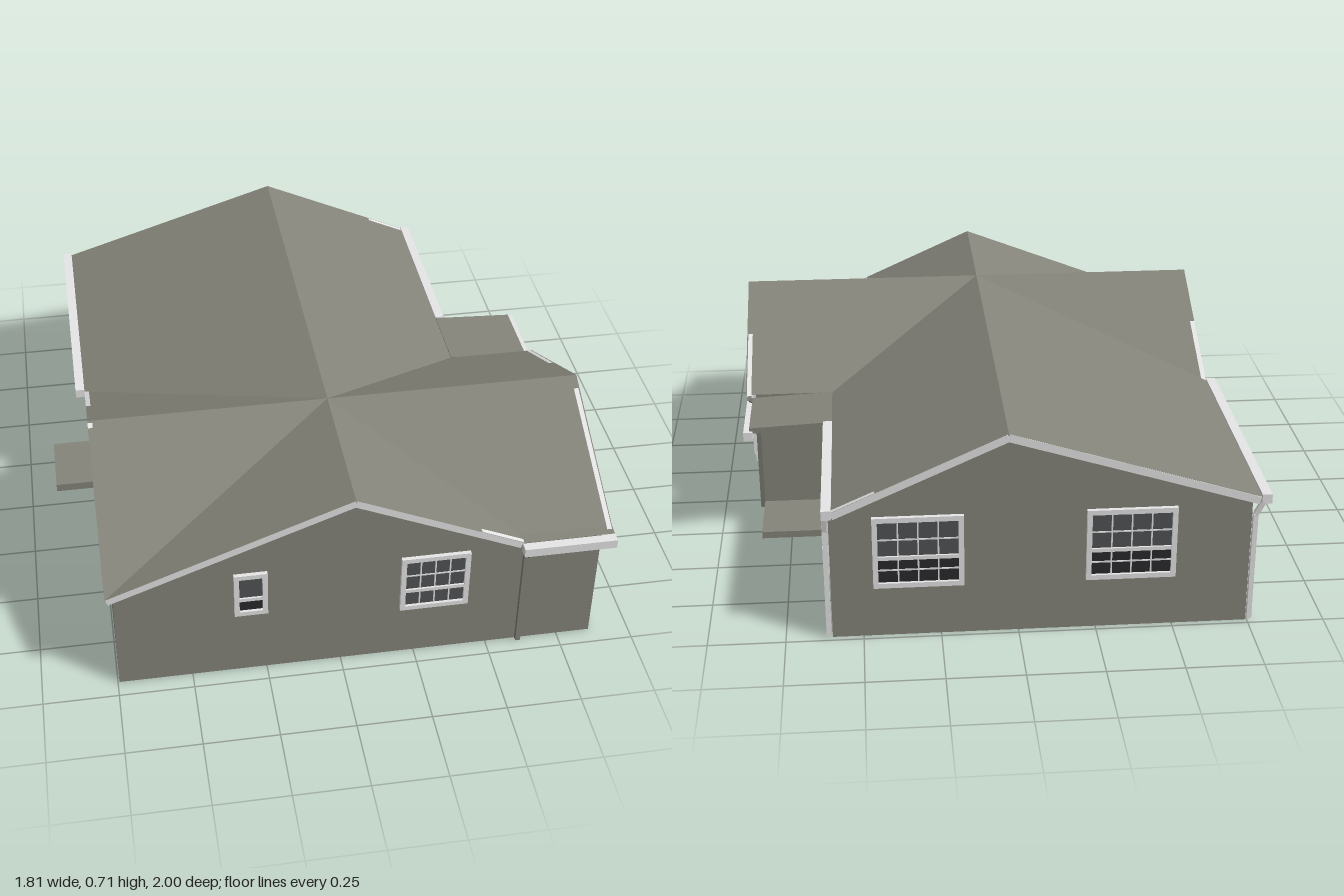
import * as THREE from 'three';

const mat = (name, color, side = THREE.FrontSide) => {
  const m = new THREE.MeshStandardMaterial({ color, side });
  m.name = name;
  return m;
};

export function createModel() {
  const siding = mat('siding', 0x85847a, THREE.DoubleSide);
  const trim = mat('whiteTrim', 0xe6e6e6);
  const glass = mat('greyGlass', 0x505354);
  const darkGlass = mat('darkGlass', 0x2a2a2d);
  const metal = mat('doorMetal', 0x77776f);
  const house = new THREE.Group();
  house.name = 'house';

  const box = (parent, name, m, w, h, d, x, y, z) => {
    const b = new THREE.Mesh(new THREE.BoxGeometry(w, h, d), m);
    b.name = name;
    b.position.set(x, y, z);
    parent.add(b);
    return b;
  };

  // Sloped or level board between two points
  const board = (name, m, a, b, w, h) => {
    const p = new THREE.Vector3(...a), q = new THREE.Vector3(...b);
    const mid = p.clone().add(q).multiplyScalar(0.5);
    box(house, name, m, w, h, p.distanceTo(q), mid.x, mid.y, mid.z).lookAt(q);
  };

  // Wall planes: side -> position of a thing at coordinate u along that wall
  const sides = {
    front: { turn: 0, at: (u) => [u, 0.94] },
    back: { turn: Math.PI, at: (u) => [u, -0.98] },
    wing: { turn: Math.PI / 2, at: (u) => [0.865, u] },
    right: { turn: Math.PI / 2, at: (u) => [0.6, u] },
    left: { turn: -Math.PI / 2, at: (u) => [-0.745, u] },
    porch: { turn: Math.PI, at: (u) => [u, -0.05] },
  };
  const place = (name, side, u, y) => {
    const g = new THREE.Group();
    g.name = name;
    const [x, z] = sides[side].at(u);
    g.position.set(x, y, z);
    g.rotation.y = sides[side].turn;
    house.add(g);
    return g;
  };

  // Walls, outlined as [coordinate along wall, height]
  const wall = (side, pts) => {
    const sign = side === 'front' || side === 'left' ? 1 : -1;
    const shape = new THREE.Shape(pts.map(([u, y]) => new THREE.Vector2(u * sign, y)));
    const g = place(side + 'Wall', side, 0, 0);
    const m = new THREE.Mesh(new THREE.ShapeGeometry(shape), siding);
    m.name = side + 'WallPanel';
    g.add(m);
  };
  wall('front', [[-0.745, 0], [0.865, 0], [0.865, 0.455], [0.6, 0.45], [0.035, 0.7], [-0.745, 0.4]]);
  wall('back', [[-0.745, 0], [0.6, 0], [0.6, 0.45], [0.035, 0.7], [-0.745, 0.455]]);
  wall('wing', [[0.94, 0], [-0.05, 0], [-0.05, 0.455], [0.43, 0.7], [0.94, 0.45]]);
  wall('right', [[-0.05, 0], [-0.98, 0], [-0.98, 0.455], [-0.05, 0.455]]);
  wall('left', [[-0.98, 0], [0.94, 0], [0.94, 0.405], [0.43, 0.7], [-0.05, 0.455], [-0.98, 0.455]]);
  wall('porch', [[0.6, 0], [0.865, 0], [0.865, 0.455], [0.6, 0.455]]);

  // Roof: a fan of slopes around the crossing of the two ridges
  const peak = [0.035, 0.71, 0.43];
  const rim = [
    [0.9, 0.71, 0.43], [0.9, 0.46, -0.07], [0.59, 0.46, -0.07], [0.59, 0.46, -1],
    [0.035, 0.71, -1], [-0.77, 0.46, -1], [-0.77, 0.46, -0.07], [-0.77, 0.71, 0.43],
    [-0.77, 0.4, 0.965], [0.035, 0.71, 0.965], [0.59, 0.46, 0.965], [0.59, 0.46, 0.93],
    [0.9, 0.46, 0.93],
  ];
  const pos = [];
  rim.forEach((p, i) => pos.push(...peak, ...p, ...rim[(i + 1) % rim.length]));
  const a = [0.59, 0.46, 0.93], b = [0.59, 0.456, 0.965], c = [0.9, 0.456, 0.965], d = [0.9, 0.46, 0.93];
  pos.push(...a, ...b, ...c, ...a, ...c, ...d);
  const roofGeo = new THREE.BufferGeometry();
  roofGeo.setAttribute('position', new THREE.Float32BufferAttribute(pos, 3));
  roofGeo.computeVertexNormals();
  const roof = new THREE.Mesh(roofGeo, siding);
  roof.name = 'roof';
  house.add(roof);

  // Rake boards under the gable edges
  const rake = (p, q) => board('rakeBoard', trim, p, q, 0.016, 0.026);
  const gables = [
    [[-0.765, 0.388, 0.955], [0.035, 0.695, 0.955], [0.59, 0.446, 0.955]],
    [[-0.765, 0.446, -0.99], [0.035, 0.695, -0.99], [0.59, 0.446, -0.99]],
    [[0.888, 0.446, 0.94], [0.888, 0.695, 0.43], [0.888, 0.446, -0.07]],
    [[-0.762, 0.39, 0.955], [-0.762, 0.695, 0.43], [-0.762, 0.446, -0.07]],
  ];
  gables.forEach(([l, top, r]) => { rake(l, top); rake(top, r); });

  // Gutters
  const gutter = (p, q) => board('gutter', trim, p, q, 0.032, 0.032);
  gutter([-0.786, 0.452, -1], [-0.786, 0.452, -0.07]);
  gutter([0.605, 0.45, -1], [0.605, 0.45, -0.33]);
  gutter([0.59, 0.44, 0.983], [0.9, 0.44, 0.983]);
  gutter([0.88, 0.42, -0.34], [0.88, 0.42, -0.07]);

  // Downspouts with a slanted elbow up to the gutter
  const spout = (m, x, z, gx, gz) => {
    board('downspout', m, [x, 0.005, z], [x, 0.39, z + 0.0001], 0.016, 0.016);
    board('downspoutElbow', m, [x, 0.385, z], [gx, 0.445, gz], 0.016, 0.016);
  };
  spout(siding, 0.61, 0.952, 0.61, 0.98);
  spout(trim, 0.612, -0.975, 0.612, -0.99);
  spout(trim, -0.757, -0.975, -0.785, -0.98);
  spout(metal, 0.862, -0.06, 0.88, -0.08);

  // Porch roof and door slabs
  board('porchRoof', siding, [0.59, 0.452, -0.2], [0.875, 0.438, -0.2], 0.26, 0.02);
  box(house, 'porchSlab', siding, 0.25, 0.025, 0.24, 0.73, 0.0125, -0.18);
  box(house, 'sideDoorStep', siding, 0.165, 0.03, 0.25, -0.825, 0.015, -0.2);

  // Sash window: frame, two panes and glazing bars
  const sash = (g, cx, w, h, split, cols, upRows, lowRows, up, low) => {
    const f = 0.017, y0 = -h / 2 + f, ys = -h / 2 + h * split, y1 = h / 2 - f, iw = w - 2 * f;
    box(g, 'lowerPane', low, iw, ys - y0, 0.009, cx, (y0 + ys) / 2, 0);
    box(g, 'upperPane', up, iw, y1 - ys, 0.009, cx, (ys + y1) / 2, 0);
    for (const s of [-1, 1]) {
      box(g, 'frameSide', trim, f, h, 0.028, cx + s * (w - f) / 2, 0, 0);
      box(g, 'frameRail', trim, w, f, 0.028, cx, s * (h - f) / 2, 0);
    }
    box(g, 'meetingRail', trim, iw, 0.013, 0.022, cx, ys, 0);
    for (let i = 1; i < cols; i++)
      box(g, 'glazingBar', trim, 0.005, y1 - y0, 0.014, cx - iw / 2 + iw * i / cols, (y0 + y1) / 2, 0);
    const rows = (n, lo, hi) => {
      for (let i = 1; i < n; i++)
        box(g, 'glazingBar', trim, iw, 0.005, 0.014, cx, lo + (hi - lo) * i / n, 0);
    };
    rows(lowRows, y0, ys);
    rows(upRows, ys, y1);
  };
  // Shutter with two raised panels
  const shutter = (g, cx, w, h) => {
    box(g, 'shutter', trim, w, h, 0.016, cx, 0, 0.009);
    for (const s of [-1, 1])
      box(g, 'shutterPanel', trim, w * 0.62, h * 0.38, 0.008, cx, s * h * 0.235, 0.02);
  };

  sash(place('frontLargeWindow', 'front', 0.31, 0.313), 0, 0.23, 0.225, 0.36, 4, 2, 1, glass, glass);
  sash(place('frontSmallWindow', 'front', -0.3, 0.343), 0, 0.11, 0.175, 0.38, 1, 1, 1, glass, darkGlass);
  for (const u of [0.32, -0.36])
    sash(place('backWindow', 'back', u, 0.305), 0, 0.29, 0.25, 0.42, 4, 2, 2, glass, darkGlass);
  for (const u of [0.18, 0.67])
    sash(place('leftWindow', 'left', u, 0.31), 0, 0.19, 0.23, 0.45, 4, 2, 2, glass, darkGlass);
  for (const [u, low] of [[0.695, darkGlass], [0.19, glass]]) {
    const g = place('wingWindow', 'wing', u, 0.295);
    sash(g, 0, 0.22, 0.275, 0.48, 5, 2, 2, glass, low);
    for (const s of [-1, 1]) shutter(g, s * 0.15, 0.075, 0.265);
  }
  const pair = place('rightDoubleWindow', 'right', -0.655, 0.288);
  sash(pair, -0.09, 0.185, 0.195, 0.42, 4, 2, 2, darkGlass, darkGlass);
  sash(pair, 0.09, 0.185, 0.195, 0.42, 4, 2, 2, glass, darkGlass);
  for (const s of [-1, 1]) shutter(pair, s * 0.218, 0.072, 0.195);

  // Doors with casing, lock plate and handle
  for (const side of ['right', 'left']) {
    const g = place(side + 'Door', side, -0.2, 0);
    box(g, 'doorLeaf', trim, 0.16, 0.37, 0.018, 0, 0.215, 0);
    for (const s of [-1, 1]) {
      box(g, 'doorGap', metal, 0.008, 0.37, 0.022, s * 0.081, 0.215, 0);
      box(g, 'doorCasing', trim, 0.014, 0.385, 0.028, s * 0.092, 0.22, 0);
    }
    box(g, 'doorHead', trim, 0.198, 0.014, 0.028, 0, 0.407, 0);
    box(g, 'lockPlate', metal, 0.01, 0.04, 0.022, 0.066, 0.2, 0);
    box(g, 'doorHandle', metal, 0.025, 0.008, 0.034, 0.06, 0.19, 0);
  }
  return house;
}
